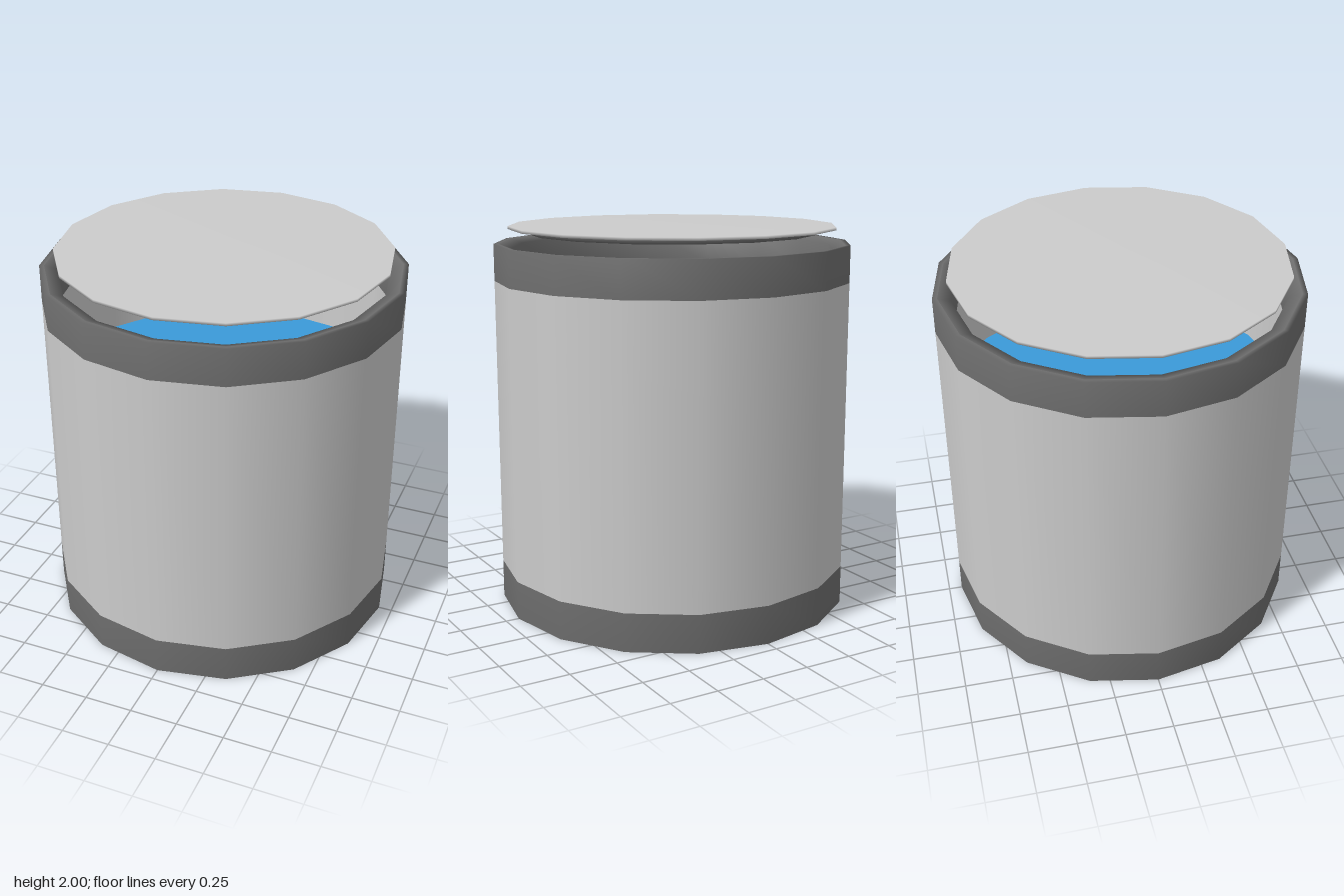
import * as THREE from 'three';

const SIDES = 16;
const grey = new THREE.MeshStandardMaterial({ color: 0xcccccc });
const dark = new THREE.MeshStandardMaterial({ color: 0x6e6e6e });
const blue = new THREE.MeshStandardMaterial({ color: 0x3a9ad9 });

// Turned part from [radius, height] pairs; an upward profile faces outwards
function turned(name, material, profile) {
  const points = profile.map(([r, y]) => new THREE.Vector2(r, y));
  const mesh = new THREE.Mesh(new THREE.LatheGeometry(points, SIDES), material);
  mesh.name = name;
  return mesh;
}

export function createModel() {
  const model = new THREE.Group();
  model.name = 'canister';

  model.add(
    // Dark foot with a shallow recess underneath
    turned('base', dark, [[0, 0.015], [0.905, 0.015], [0.915, 0], [0.93, 0], [0.93, 0.2]]),

    // Container wall, outside and inside
    turned('body', grey, [[0.93, 0.2], [0.93, 1.72]]),
    turned('innerWall', grey, [[0.88, 1.72], [0.88, 1.26]]),

    // Contents
    turned('liquid', blue, [[0.88, 1.26], [0, 1.26]]),

    // Dark collar: outer band, top lip sloping inwards, inner face and underside
    turned('collarBand', dark, [[0.93, 1.72], [0.93, 1.91], [0.905, 1.91]]),
    turned('collarLip', dark, [[0.905, 1.91], [0.84, 1.887], [0.84, 1.72]]),
    turned('collarUnderside', dark, [[0.84, 1.72], [0.88, 1.72]]),

    // Raised lid plate, with a plug below it
    turned('lid', grey, [[0, 1.985], [0.855, 1.985], [0.855, 2], [0, 2]]),
    turned('lidPlug', dark, [[0, 1.96], [0.755, 1.96], [0.755, 1.985]]),
  );
  return model;
}
